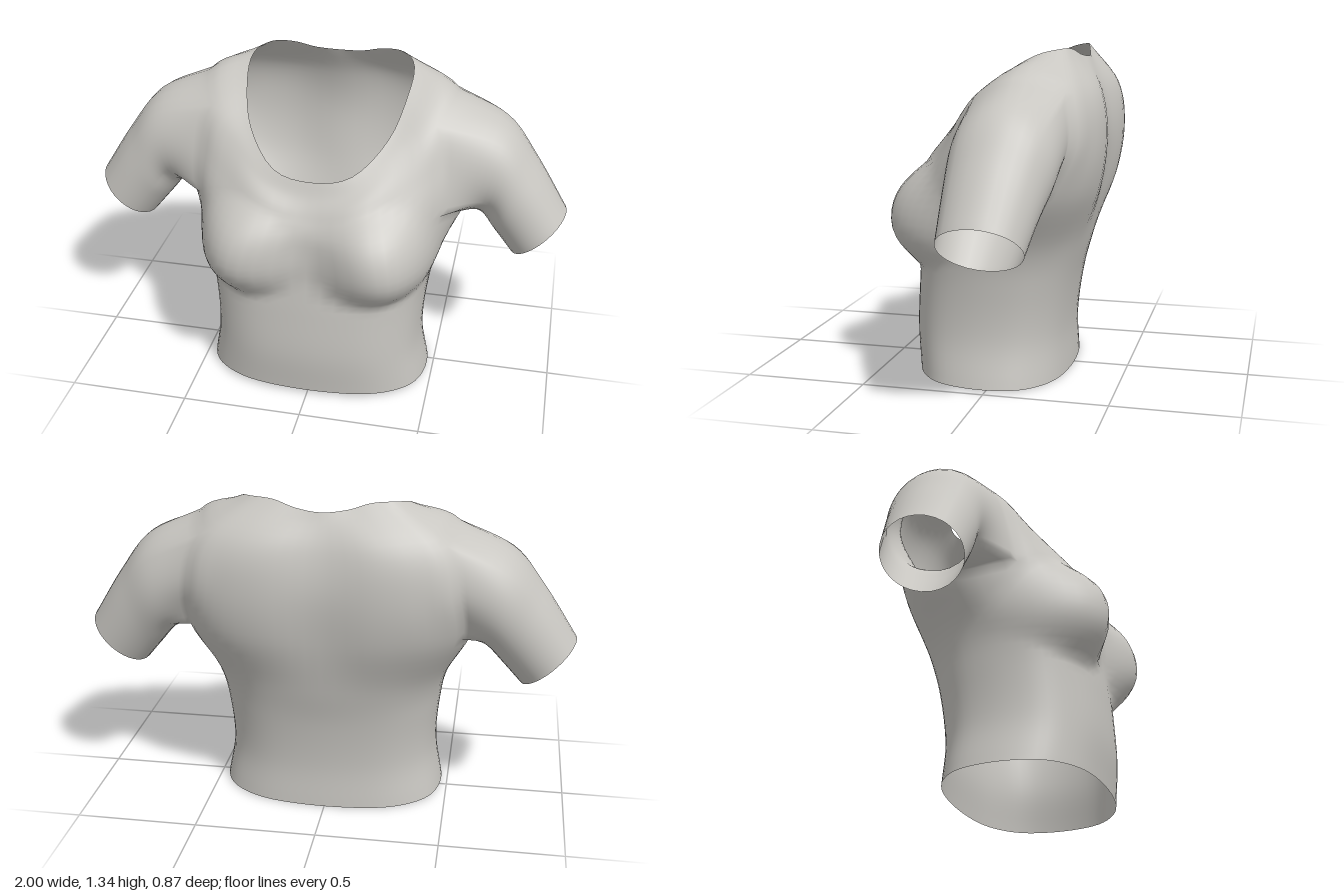
import * as THREE from 'three';

const V = (x, y, z) => new THREE.Vector3(x, y, z);
const HALF = 32, N = HALF * 2;      // columns around the body
const STEP = 6;                     // rows between two key rings
const HOLE_U = [12, 20];            // armhole columns
const HOLE_V = [4 * STEP, 6 * STEP]; // armhole rows

// Waist rings: height, half width, front z, back z
const waist = [
  [0.017, 0.475, 0.36, -0.27],
  [0.2, 0.445, 0.375, -0.265],
  [0.4, 0.455, 0.365, -0.29],
  [0.58, 0.49, 0.35, -0.335],
];

// Half rings from front centre to back centre: armpit, chest, shoulder, neckline
const upper = [
  [[0, .76, .345], [.2, .78, .35], [.38, .8, .27], [.50, .82, .14], [.58, .77, -.06],
    [.55, .8, -.25], [.42, .8, -.36], [.22, .79, -.4], [0, .79, -.385]],
  [[0, .85, .31], [.19, .89, .31], [.36, .95, .21], [.50, 1.0, .10], [.66, 1.0, -.1],
    [.54, 1.0, -.34], [.4, 1.0, -.405], [.22, 1.0, -.43], [0, 1.0, -.41]],
  [[0, .92, .27], [.19, .96, .25], [.34, 1.07, .14], [.46, 1.17, .04], [.52, 1.25, -.13],
    [.48, 1.2, -.32], [.36, 1.19, -.38], [.2, 1.18, -.405], [0, 1.17, -.385]],
  [[0, .975, .245], [.16, 1.005, .22], [.28, 1.12, .1], [.33, 1.25, -.045], [.335, 1.325, -.17],
    [.28, 1.348, -.26], [.19, 1.345, -.285], [.1, 1.32, -.305], [0, 1.31, -.32]],
];

// Sleeve rings: top x, y; bottom x, y; centre z, half depth
const sleeveRings = [
  [.73, 1.15, .645, .745, -.13, .2],
  [.865, .985, .71, .67, -.115, .18],
  [1.0, .775, .785, .58, -.1, .16],
];

function waistRing([y, w, zf, zb]) {
  const pts = [];
  for (let i = 0; i <= 8; i++) {
    const a = i / 8 * Math.PI, c = Math.cos(a);
    const soft = v => Math.sign(v) * Math.abs(v) ** 0.8;
    pts.push([i === 8 ? 0 : w * soft(Math.sin(a)), y + 0.01 * c,
      (zf + zb) / 2 + (zf - zb) / 2 * soft(c)]);
  }
  return pts;
}

// Closed smooth curve from a mirrored half ring
function closedRing(half) {
  const left = half.map(p => V(...p));
  const right = half.slice(1, 8).reverse().map(([x, y, z]) => V(-x, y, z));
  return new THREE.CatmullRomCurve3([...left, ...right], true, 'catmullrom', 0.5);
}

// Fullness of the chest
function shapeChest(p) {
  if (p.z < 0) return p;
  const side = Math.sign(p.x);
  const dx = (Math.abs(p.x) - 0.28) / 0.24;
  const dy = (p.y - 0.64) / (p.y < 0.64 ? 0.18 : 0.26);
  const k = 0.115 * Math.max(0, 1 - dx * dx - dy * dy) ** 1.3;
  p.x += side * k * 0.35;
  p.z += k;
  return p;
}

export function createModel() {
  const fabric = new THREE.MeshStandardMaterial({ color: 0xc8c6c1, side: THREE.DoubleSide });
  fabric.name = 'light grey fabric';

  const verts = [], index = [];
  const add = p => verts.push(p) - 1;
  const quad = (a, b, c, d) => index.push(a, b, c, a, c, d);

  // Body: columns run from hem to neckline through every key ring
  const rings = [...waist.map(waistRing), ...upper].map(closedRing);
  const rows = (rings.length - 1) * STEP;
  const grid = [];
  for (let u = 0; u < N; u++) {
    const column = new THREE.CatmullRomCurve3(rings.map(r => r.getPoint(u / N)), false, 'catmullrom', 0.5);
    grid.push([]);
    for (let v = 0; v <= rows; v++) {
      const inHole = [u, N - u].some(k => k > HOLE_U[0] && k < HOLE_U[1]) && v > HOLE_V[0] && v < HOLE_V[1];
      grid[u].push(inHole ? -1 : add(shapeChest(column.getPoint(v / rows))));
    }
  }
  for (let u = 0; u < N; u++) {
    const k = u < HALF ? u : N - 1 - u;
    const n = (u + 1) % N;
    for (let v = 0; v < rows; v++) {
      if (k >= HOLE_U[0] && k < HOLE_U[1] && v >= HOLE_V[0] && v < HOLE_V[1]) continue;
      quad(grid[u][v], grid[n][v], grid[n][v + 1], grid[u][v + 1]);
    }
  }

  // Armhole outline: under the arm, up the front, over the shoulder, down the back
  const outline = [];
  for (let u = HOLE_U[1]; u > HOLE_U[0]; u--) outline.push([u, HOLE_V[0]]);
  for (let v = HOLE_V[0]; v < HOLE_V[1]; v++) outline.push([HOLE_U[0], v]);
  for (let u = HOLE_U[0]; u < HOLE_U[1]; u++) outline.push([u, HOLE_V[1]]);
  for (let v = HOLE_V[1]; v > HOLE_V[0]; v--) outline.push([HOLE_U[1], v]);

  // Sleeves: each outline point is drawn out through the sleeve rings
  const SLEEVE = 18;
  for (const side of [1, -1]) {
    const lines = outline.map(([u, v]) => {
      const start = grid[side > 0 ? u : N - u][v];
      const p = verts[start];
      const a = Math.atan2((p.z + 0.11) / 0.21, (1.0 - p.y) / 0.23);
      const path = [p.clone()];
      for (const [tx, ty, bx, by, cz, hz] of sleeveRings) {
        const t = (1 - Math.cos(a)) / 2;
        path.push(V(side * (bx + (tx - bx) * t), by + (ty - by) * t, cz + hz * Math.sin(a)));
      }
      const curve = new THREE.CatmullRomCurve3(path, false, 'catmullrom', 0.5);
      const line = [start];
      for (let s = 1; s <= SLEEVE; s++) line.push(add(curve.getPoint(s / SLEEVE)));
      return line;
    });
    lines.forEach((a, i) => {
      const b = lines[(i + 1) % lines.length];
      for (let s = 0; s < SLEEVE; s++) {
        if (side > 0) quad(a[s], a[s + 1], b[s + 1], b[s]);
        else quad(a[s], b[s], b[s + 1], a[s + 1]);
      }
    });
  }

  const geometry = new THREE.BufferGeometry().setFromPoints(verts);
  geometry.setIndex(index);
  geometry.computeVertexNormals();
  const shirt = new THREE.Mesh(geometry, fabric);
  shirt.name = 'shirt';

  const group = new THREE.Group();
  group.name = 'short sleeved top';
  group.add(shirt);
  return group;
}
